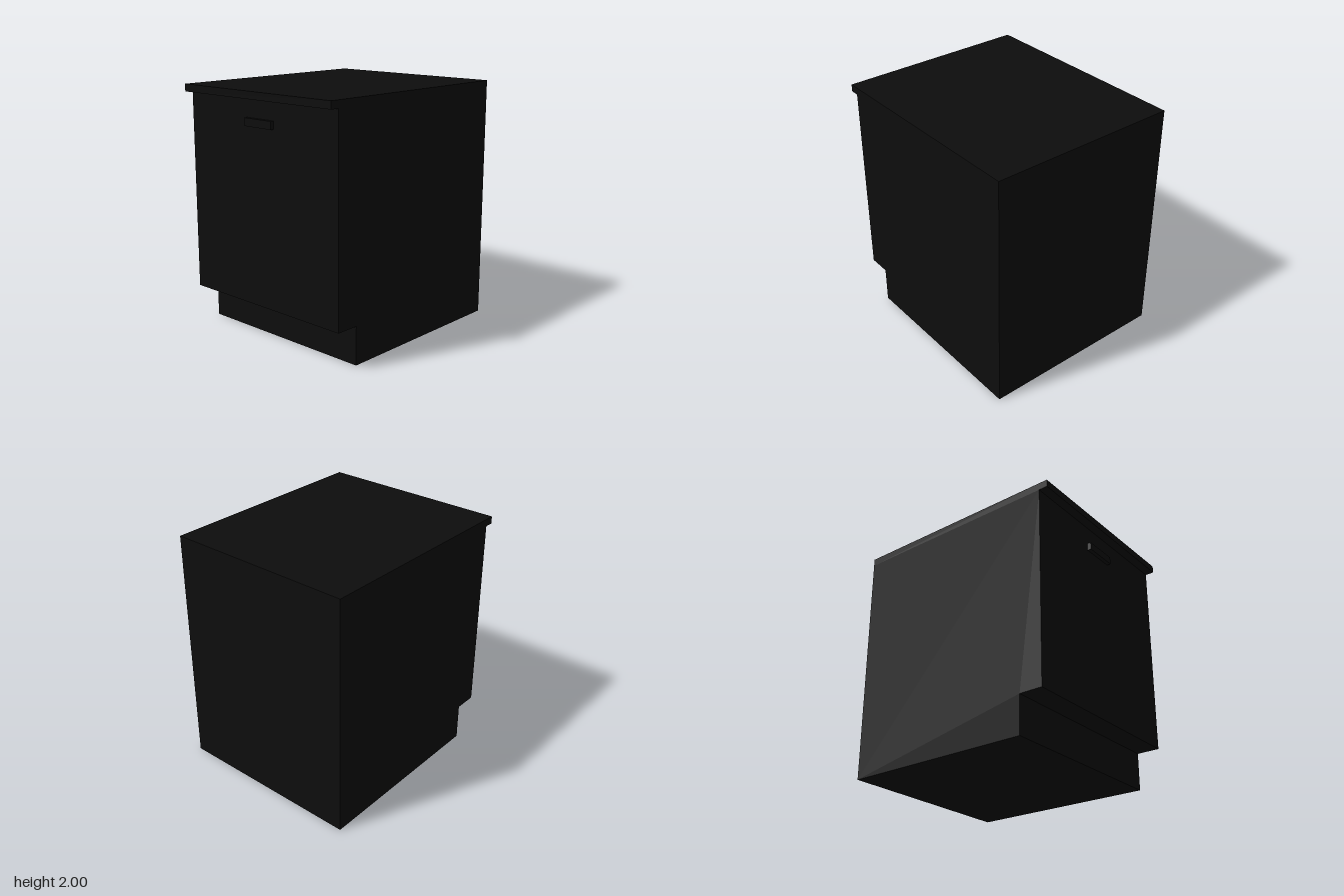
import * as THREE from 'three';

export function createModel() {
  const model = new THREE.Group();
  model.name = 'baseCabinet';
  const black = new THREE.MeshStandardMaterial({ color: 0x0d0d0d });
  black.name = 'black';

  const DEPTH = 1.59; // full size along z

  function add(name, geometry) {
    const mesh = new THREE.Mesh(geometry, black);
    mesh.name = name;
    model.add(mesh);
    return mesh;
  }

  // Box given by its x and y limits, centred on z
  function slab(name, x0, x1, y0, y1, depth) {
    const mesh = add(name, new THREE.BoxGeometry(x1 - x0, y1 - y0, depth));
    mesh.position.set((x0 + x1) / 2, (y0 + y1) / 2, 0);
  }

  // Carcass with a toe-kick recess under its door side (-x)
  const profile = new THREE.Shape([
    [-0.665, 0], [0.927, 0], [0.927, 1.94], [-0.857, 1.94], [-0.857, 0.31], [-0.665, 0.31],
  ].map(([x, y]) => new THREE.Vector2(x, y)));
  const carcass = new THREE.ExtrudeGeometry(profile, { depth: DEPTH, bevelEnabled: false });
  carcass.translate(0, 0, -DEPTH / 2);
  add('carcass', carcass);

  // Worktop overhanging the door side
  slab('worktop', -0.93, 0.927, 1.94, 2, DEPTH);

  // Pull handle centred near the top of the door side
  slab('handle', -0.888, -0.857, 1.727, 1.79, 0.29);

  return model;
}
